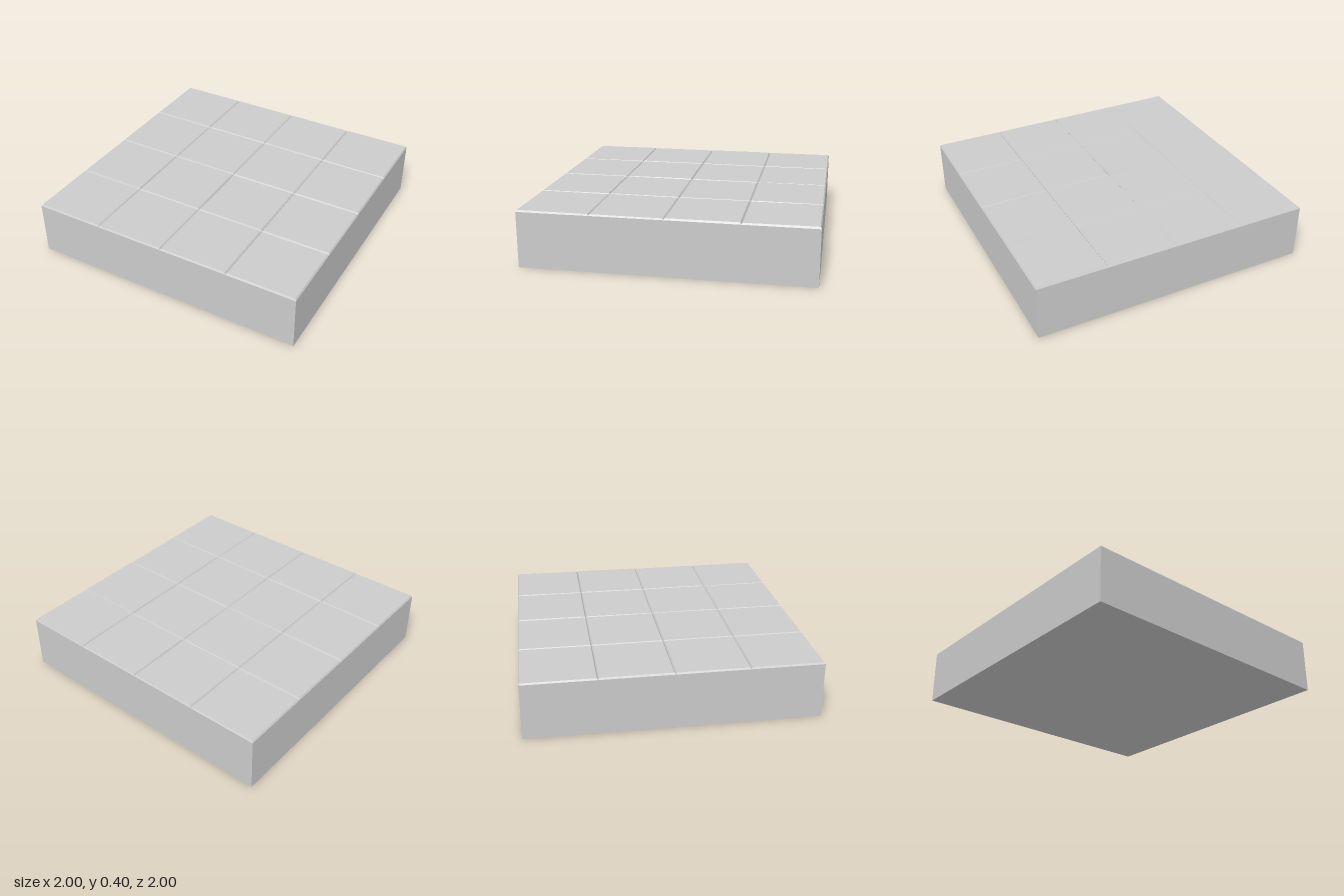
import * as THREE from 'three';

const COUNT = 4;          // tiles per side
const PITCH = 2 / COUNT;  // tile spacing
const BED = 0.39;         // top of the slab, at the bottom of the grooves
const TOP = 0.401;        // mean height of the tile faces
const BEVEL = 0.008;      // inset of each tile face

const material = new THREE.MeshStandardMaterial({ color: 0xcccccc, flatShading: true });

// Small repeatable variation in the range -1 to 1
function vary(seed) {
  const s = Math.sin(seed * 12.9898 + 4.1) * 43758.5453;
  return (s - Math.floor(s)) * 2 - 1;
}

// Paving tile: a thin box with bevelled sides and a slightly uneven, tilted face
function makeTile(index) {
  const geometry = new THREE.BoxGeometry(PITCH, TOP - BED, PITCH);
  const position = geometry.attributes.position;
  const lift = vary(index) * 0.001;
  const tiltX = vary(index + 31) * 0.004;
  const tiltZ = vary(index + 67) * 0.004;
  const shrink = 1 - (2 * BEVEL) / PITCH;
  for (let i = 0; i < position.count; i++) {
    if (position.getY(i) < 0) continue;
    const x = position.getX(i) * shrink;
    const z = position.getZ(i) * shrink;
    position.setXYZ(i, x, position.getY(i) + lift + x * tiltX + z * tiltZ, z);
  }
  geometry.computeVertexNormals();
  const tile = new THREE.Mesh(geometry, material);
  tile.name = 'tile';
  return tile;
}

export function createModel() {
  const model = new THREE.Group();
  model.name = 'tiledFloorBlock';

  // Solid slab
  const slab = new THREE.Mesh(new THREE.BoxGeometry(2, BED, 2), material);
  slab.name = 'slab';
  slab.position.y = BED / 2;
  model.add(slab);

  // Grid of tiles on the slab
  const tiles = new THREE.Group();
  tiles.name = 'tiles';
  for (let row = 0; row < COUNT; row++) {
    for (let column = 0; column < COUNT; column++) {
      const tile = makeTile(row * COUNT + column);
      tile.position.set(-1 + (column + 0.5) * PITCH, (BED + TOP) / 2, -1 + (row + 0.5) * PITCH);
      tiles.add(tile);
    }
  }
  model.add(tiles);

  return model;
}
